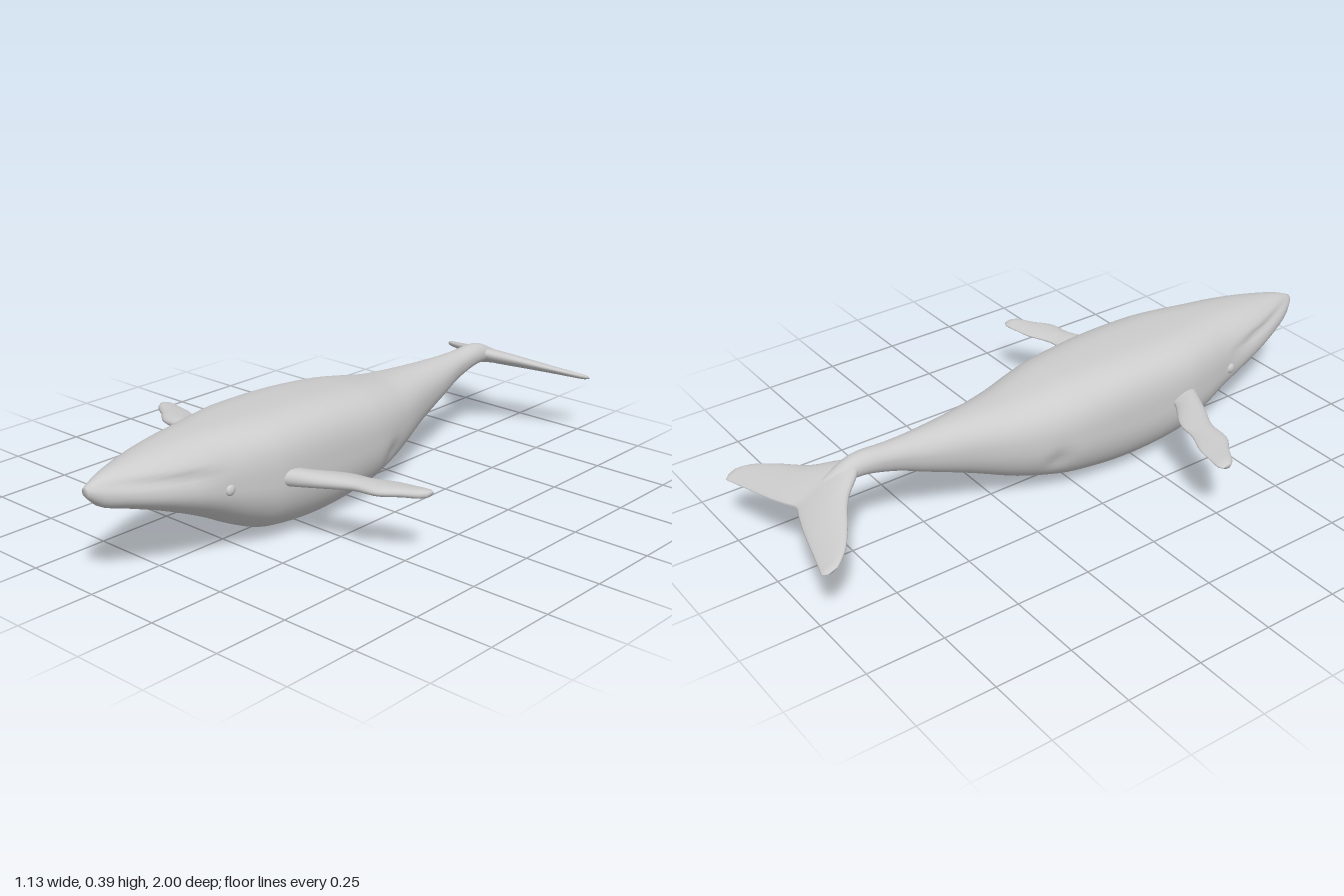
import * as THREE from 'three';

const material = new THREE.MeshStandardMaterial({ color: 0xcccccc, roughness: 0.7 });

// Smooth interpolation of table rows by their first column (ascending)
function sample(rows, u) {
  let i = 0;
  while (i < rows.length - 2 && u > rows[i + 1][0]) i++;
  const a = rows[i], b = rows[i + 1];
  const p = rows[Math.max(i - 1, 0)], q = rows[Math.min(i + 2, rows.length - 1)];
  const d = b[0] - a[0], t = (u - a[0]) / d;
  return a.map((v, k) => {
    const m0 = (b[k] - p[k]) / (b[0] - p[0]) * d, m1 = (q[k] - a[k]) / (q[0] - a[0]) * d;
    return v * (2 * t ** 3 - 3 * t * t + 1) + m0 * (t ** 3 - 2 * t * t + t)
      + b[k] * (3 * t * t - 2 * t ** 3) + m1 * (t ** 3 - t * t);
  });
}

// Skin over closed rings of points, with both ends capped
function loft(name, rings) {
  const n = rings[0].length, pos = [], idx = [];
  rings.forEach(r => r.forEach(p => pos.push(...p)));
  for (let i = 0; i < rings.length - 1; i++) {
    for (let j = 0; j < n; j++) {
      const a = i * n + j, b = i * n + (j + 1) % n;
      idx.push(a, b, a + n, b, b + n, a + n);
    }
  }
  [0, rings.length - 1].forEach((i, end) => {
    const c = pos.length / 3;
    for (let k = 0; k < 3; k++) pos.push(rings[i].reduce((s, p) => s + p[k], 0) / n);
    for (let j = 0; j < n; j++) {
      const a = i * n + j, b = i * n + (j + 1) % n;
      if (end) idx.push(a, b, c); else idx.push(b, a, c);
    }
  });
  const g = new THREE.BufferGeometry();
  g.setAttribute('position', new THREE.Float32BufferAttribute(pos, 3));
  g.setIndex(idx);
  g.computeVertexNormals();
  const mesh = new THREE.Mesh(g, material);
  mesh.name = name;
  return mesh;
}

const power = (v, e) => Math.sign(v) * Math.abs(v) ** e;
const bell = (d, r) => Math.exp(-((d / r) ** 2));

function makeBody() {
  // z, half width, top, bottom, height of widest point, upper squareness
  const stations = [
    [-0.88, 0.01, 0.26, 0.235, 0.247, 2], [-0.8, 0.028, 0.305, 0.25, 0.28, 2],
    [-0.72, 0.035, 0.338, 0.268, 0.303, 2], [-0.6, 0.042, 0.335, 0.24, 0.295, 2],
    [-0.5, 0.06, 0.336, 0.2, 0.275, 2], [-0.35, 0.092, 0.341, 0.14, 0.25, 2.2],
    [-0.2, 0.137, 0.349, 0.077, 0.225, 2.4], [-0.1, 0.165, 0.365, 0.047, 0.215, 2.6],
    [0, 0.183, 0.38, 0.025, 0.21, 2.8], [0.2, 0.193, 0.395, 0.008, 0.205, 3.1],
    [0.4, 0.191, 0.398, 0.026, 0.21, 3.1], [0.5, 0.175, 0.397, 0.065, 0.22, 2.9],
    [0.6, 0.153, 0.394, 0.118, 0.235, 2.6], [0.7, 0.136, 0.387, 0.165, 0.252, 2.4],
    [0.8, 0.111, 0.376, 0.206, 0.27, 2.2], [0.9, 0.073, 0.36, 0.24, 0.288, 2],
    [0.96, 0.042, 0.345, 0.26, 0.3, 2], [1, 0.014, 0.328, 0.298, 0.314, 2]];
  const rings = [];
  for (let i = 0; i <= 110; i++) {
    const [z, w, top, bottom, mid, n] = sample(stations, -0.88 + 1.88 * i / 110);
    const lip = 0.315 - 0.12 * (1 - z);
    const ring = [];
    for (let j = 0; j < 56; j++) {
      const t = j / 56 * Math.PI * 2, s = Math.sin(t), e = s > 0 ? 2 / n : 2 / 2.15;
      let x = w * power(Math.cos(t), e);
      const y = mid + (s > 0 ? top - mid : mid - bottom) * power(s, e);
      // Mouth crease and the shallow hollow low on each flank
      if (z > 0.6) x *= 1 - 0.1 * bell(y - lip - 0.02, 0.014) * Math.min(1, (z - 0.6) * 8);
      x *= 1 - 0.07 * bell(Math.hypot(y - 0.155, z + 0.1), 0.035);
      ring.push([x, y, z]);
    }
    rings.push(ring);
  }
  return loft('body', rings);
}

// Lens-shaped cross-section of a fin at x, between its back and front edges
function finRing(x, back, front, half, height) {
  const ring = [];
  for (let j = 0; j < 24; j++) {
    const t = j / 24 * Math.PI * 2;
    const z = (back + front) / 2 + (front - back) / 2 * Math.sin(t);
    ring.push([x, height(z) + half * Math.cos(t) * (1 + 0.35 * Math.sin(t)), z]);
  }
  return ring;
}

function makeFlipper(side) {
  // x, trailing z, leading z, half thickness
  const stations = [
    [0.14, 0.33, 0.45, 0.026], [0.2, 0.325, 0.42, 0.025], [0.28, 0.272, 0.382, 0.021],
    [0.32, 0.255, 0.36, 0.019], [0.37, 0.247, 0.336, 0.017], [0.45, 0.213, 0.325, 0.015],
    [0.5, 0.204, 0.287, 0.013], [0.55, 0.197, 0.255, 0.012], [0.565, 0.205, 0.236, 0.007]];
  const rings = [];
  for (let i = 0; i <= 32; i++) {
    const [x, back, front, half] = sample(stations, 0.14 + 0.425 * i / 32);
    rings.push(finRing(side * x, back, front, half, () => 0.226));
  }
  if (side < 0) rings.reverse();
  return loft(side > 0 ? 'leftFlipper' : 'rightFlipper', rings);
}

function makeFlukes() {
  // x, trailing z, leading z, half thickness
  const half = [
    [0, -0.92, -0.7, 0.024], [0.04, -0.933, -0.735, 0.023], [0.1, -0.952, -0.8, 0.019],
    [0.2, -0.977, -0.863, 0.013], [0.26, -0.992, -0.905, 0.01], [0.29, -0.998, -0.938, 0.008],
    [0.3, -0.985, -0.955, 0.004]];
  const stations = [...half.slice(1).reverse().map(([x, ...r]) => [-x, ...r]), ...half];
  const rings = [];
  for (let i = 0; i <= 60; i++) {
    const [x, back, front, thick] = sample(stations, -0.3 + 0.6 * i / 60);
    rings.push(finRing(x, back, front, thick, z => 0.207 + 0.35 * (z + 1)));
  }
  return loft('tailFlukes', rings);
}

export function createModel() {
  const model = new THREE.Group();
  model.name = 'whale';
  model.add(makeBody(), makeFlukes());
  for (const side of [1, -1]) {
    model.add(makeFlipper(side));
    const eye = new THREE.Mesh(new THREE.SphereGeometry(0.017, 20, 14), material);
    eye.name = side > 0 ? 'leftEye' : 'rightEye';
    eye.scale.x = 0.6;
    eye.position.set(side * 0.15, 0.24, 0.605);
    model.add(eye);
  }
  return model;
}
